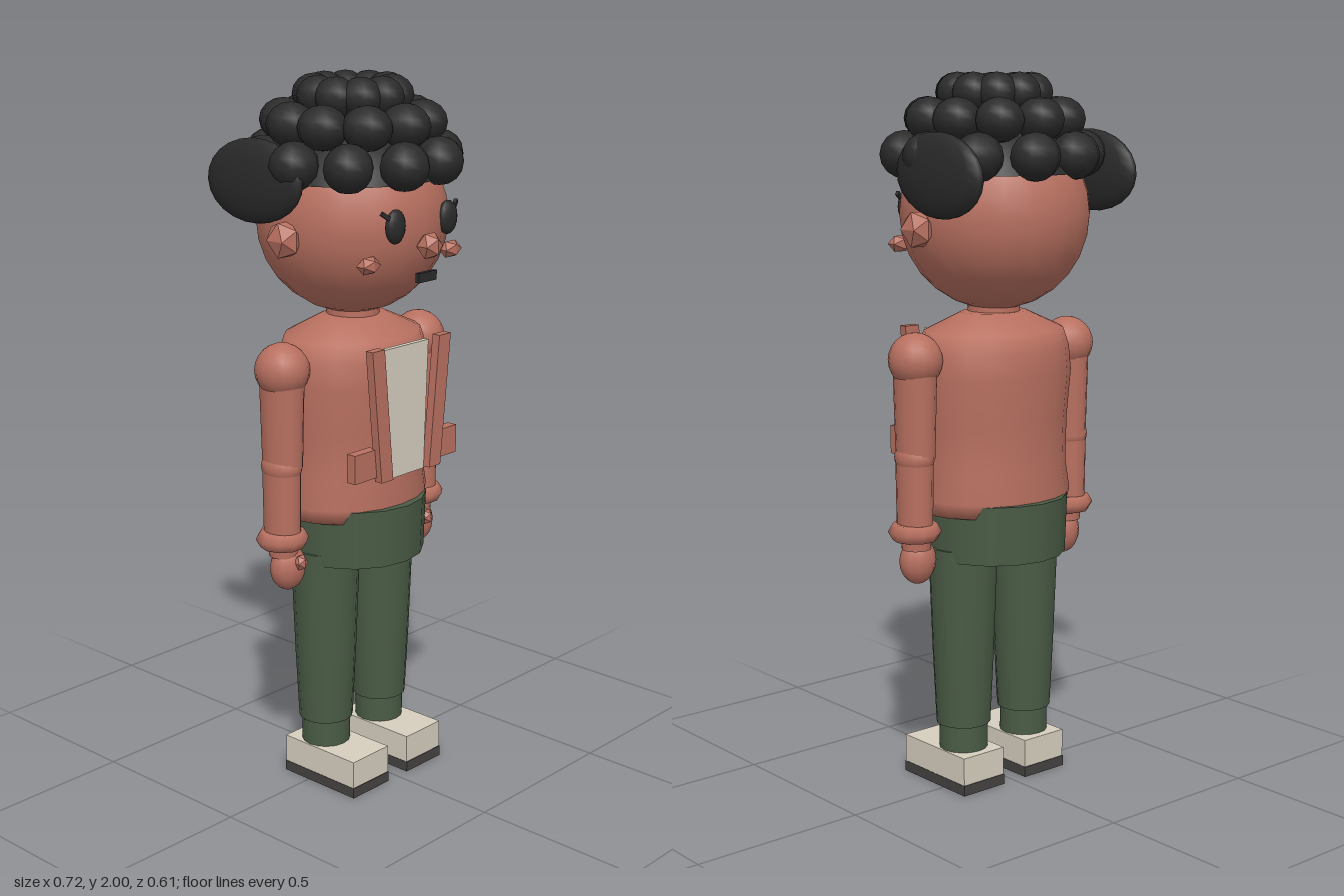
import * as THREE from 'three';

const mat = (name, color, flat = false) => {
  const m = new THREE.MeshStandardMaterial({ color });
  m.name = name;
  m.flatShading = flat;
  return m;
};

export function createModel() {
  const root = new THREE.Group();
  root.name = 'figure';
  const skin = mat('terracotta', 0xb87060);
  const facet = mat('terracotta faceted', 0xb87060, true);
  const black = mat('hair black', 0x2a2a2a);
  const green = mat('trouser green', 0x4a5b45);
  const cream = mat('cream', 0xd6cfbf);
  const grey = mat('sole grey', 0x444341);
  const cap = mat('hair cap black', 0x2a2a2a);
  cap.side = THREE.DoubleSide;

  const add = (name, geo, material, x = 0, y = 0, z = 0, parent = root) => {
    const m = new THREE.Mesh(geo, material);
    m.name = name;
    m.position.set(x, y, z);
    parent.add(m);
    return m;
  };
  const ball = (rx, ry, rz, w = 16, h = 12) => new THREE.SphereGeometry(1, w, h).scale(rx, ry, rz);
  const gem = (rx, ry, rz) => new THREE.IcosahedronGeometry(1, 0).scale(rx, ry, rz);
  const tube = (top, bottom, h, sides = 16) => new THREE.CylinderGeometry(top, bottom, h, sides);
  const box = (w, h, d) => new THREE.BoxGeometry(w, h, d);
  // thin plate from an outline in x and y, back face at z = 0
  const plate = (pts, depth) => new THREE.ExtrudeGeometry(
    new THREE.Shape(pts.map(p => new THREE.Vector2(...p))), { depth, bevelEnabled: false });

  // head and neck
  add('head', ball(0.26, 0.265, 0.267, 20, 14), skin, 0, 1.62, -0.005);
  add('neck', tube(0.072, 0.075, 0.08), skin, 0, 1.36, 0);
  add('nose', gem(0.037, 0.039, 0.035), facet, 0, 1.57, 0.275);
  add('mouth', box(0.072, 0.026, 0.012), black, 0, 1.487, 0.264);

  // hair: cap with three rings of curls
  add('hairCap', new THREE.SphereGeometry(0.271, 20, 8, 0, Math.PI * 2, 0, 1.15), cap, 0, 1.62, -0.003);
  const rings = [
    { y: 1.945, ring: 0.105, r: 0.06, ry: 0.055, phase: 18 },
    { y: 1.875, ring: 0.187, r: 0.068, ry: 0.06, phase: 90 },
    { y: 1.78, ring: 0.245, r: 0.068, ry: 0.065, phase: 76 },
  ];
  const curls = new THREE.Group();
  curls.name = 'curls';
  root.add(curls);
  for (const { y, ring, r, ry, phase } of rings) {
    for (let i = 0; i < 10; i++) {
      const a = THREE.MathUtils.degToRad(phase + i * 36);
      const c = add('curl', ball(r, ry, r, 10, 8), black, ring * Math.cos(a), y, -ring * Math.sin(a), curls);
      c.rotation.y = a;
    }
  }

  // torso: flattened lathe, with hips pushing through the hem
  const profile = [[0, 0.8], [0.225, 0.8], [0.235, 0.84], [0.222, 0.92], [0.225, 1.05],
    [0.237, 1.18], [0.23, 1.25], [0.212, 1.3], [0.1, 1.35], [0, 1.357]];
  const torso = add('torso', new THREE.LatheGeometry(profile.map(p => new THREE.Vector2(...p)), 20), skin);
  torso.scale.z = 0.79;
  add('hips', tube(0.208, 0.202, 0.165), green, 0, 0.752, 0);

  // shirt front
  add('shirtPanel', plate([[-0.075, 0.925], [0.075, 0.925], [0.09, 1.29], [-0.09, 1.29]], 0.015),
    cream, 0, 0, 0.183);

  for (const s of [1, -1]) {
    const side = s > 0 ? 'left' : 'right';
    const part = (name, geo, material, x, y, z) => add(side + name, geo, material, s * x, y, z);

    // face
    part('Eye', ball(0.034, 0.046, 0.02, 14, 10), black, 0.105, 1.63, 0.247);
    part('Eyelash', box(0.034, 0.012, 0.01), black, 0.137, 1.659, 0.244).rotation.set(0, s * 0.4, s * 0.6);
    part('Cheek', gem(0.038, 0.026, 0.027), facet, 0.165, 1.531, 0.208);
    part('Ear', gem(0.042, 0.055, 0.055), facet, 0.267, 1.587, 0);
    part('HairTuft', ball(0.037, 0.113, 0.175, 14, 12), black, 0.273, 1.733, -0.1).rotation.x = -0.06;

    // jacket front
    const lapel = [[0.075, 0.93], [0.122, 0.93], [0.16, 1.3], [0.112, 1.3]].map(([x, y]) => [s * x, y]);
    part('Lapel', plate(lapel, 0.025), skin, 0, 0, 0.194);
    part('Pocket', box(0.088, 0.08, 0.03), skin, 0.166, 0.983, 0.187);

    // arm
    part('Shoulder', ball(0.073, 0.075, 0.077), skin, 0.278, 1.237, 0);
    part('UpperArm', tube(0.056, 0.05, 0.27).scale(1, 1, 1.2), skin, 0.28, 1.105, 0);
    part('Elbow', ball(0.051, 0.05, 0.061), skin, 0.284, 0.97, 0);
    part('Forearm', tube(0.048, 0.046, 0.2).scale(1, 1, 1.2), skin, 0.284, 0.87, 0);
    const cuff = new THREE.TorusGeometry(0.047, 0.027, 6, 10).rotateX(Math.PI / 2);
    part('Cuff', cuff, skin, 0.284, 0.765, 0);
    part('Wrist', tube(0.045, 0.04, 0.07), skin, 0.28, 0.75, 0);
    part('Hand', ball(0.054, 0.065, 0.046, 12, 10), skin, 0.27, 0.679, 0.006);
    part('Thumb', gem(0.021, 0.024, 0.021), facet, 0.264, 0.7, 0.05);

    // leg and shoe
    part('Thigh', tube(0.098, 0.086, 0.33), green, 0.114, 0.535, 0);
    part('Knee', ball(0.086, 0.04, 0.086), green, 0.114, 0.37, 0);
    part('Shin', tube(0.086, 0.077, 0.19), green, 0.114, 0.28, 0);
    part('Ankle', tube(0.069, 0.069, 0.1), green, 0.114, 0.15, 0);
    part('Shoe', box(0.146, 0.08, 0.266), cream, 0.114, 0.07, 0.042);
    part('Sole', box(0.148, 0.03, 0.27), grey, 0.114, 0.015, 0.042);
  }
  return root;
}
